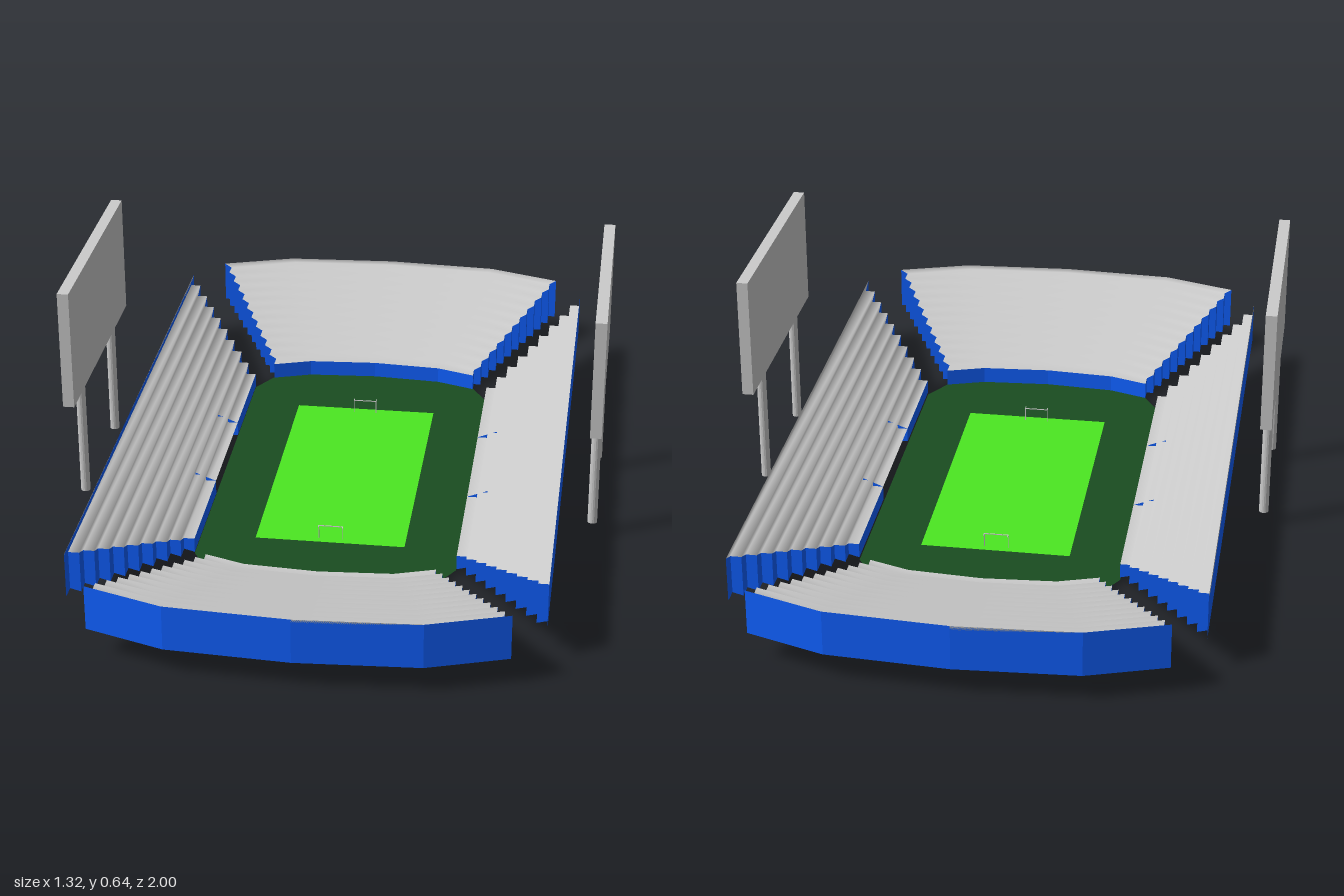
import * as THREE from 'three';

const paint = (color, flat = true) =>
  new THREE.MeshStandardMaterial({ color, flatShading: flat, side: THREE.DoubleSide });
const grey = paint(0xcccccc);
const seatGrey = paint(0xcccccc, false);
const blue = paint(0x1060ff);
const darkGreen = paint(0x1a4d20);
const brightGreen = paint(0x4ce822);

const lerp = THREE.MathUtils.lerp;

function add(parent, name, geometry, material, x = 0, y = 0, z = 0) {
  const mesh = new THREE.Mesh(geometry, material);
  mesh.name = name;
  mesh.position.set(x, y, z);
  parent.add(mesh);
  return mesh;
}

// Surface through equally long rows of [x, y, z] points
function grid(rows) {
  const cols = rows[0].length;
  const index = [];
  for (let i = 0; i < rows.length - 1; i++) {
    for (let j = 0; j < cols - 1; j++) {
      const a = i * cols + j, b = a + cols;
      index.push(a, b, b + 1, a, b + 1, a + 1);
    }
  }
  const geometry = new THREE.BufferGeometry();
  geometry.setAttribute('position', new THREE.Float32BufferAttribute(rows.flat(2), 3));
  geometry.setIndex(index);
  geometry.computeVertexNormals();
  return geometry;
}

// Open-bottomed stand rising outward along +z between two plan paths of [x, z]
function createStand({ name, inner, outer, low, high, rows, gap }) {
  const stand = new THREE.Group();
  stand.name = name;
  const [baseIn, topIn] = low, [baseOut, topOut] = high;

  // Stepped profile: each tread keeps its width, each riser widens to the next
  const treads = [], feet = [];
  const row = (ta, tr, ty) => {
    const plan = inner.map((p, j) => [lerp(p[0], outer[j][0], ta), lerp(p[1], outer[j][1], tr)]);
    treads.push(plan.map(([x, z]) => [x, lerp(topIn, topOut, ty), z]));
    feet.push(plan.map(([x, z]) => [x, lerp(baseIn, baseOut, tr), z]));
  };
  row(0, 0, 0);
  for (let k = 0; k < rows; k++) {
    const t = k / rows, next = (k + 1) / rows;
    row(t, next, t);
    row(next, next, next);
  }
  add(stand, 'seatRows', grid(treads), seatGrey);

  // Walls
  const last = treads.length - 1, end = inner.length - 1;
  add(stand, 'outerWall', grid([treads[last], feet[last]]), blue);
  add(stand, 'endWall', grid([feet.map(r => r[end]), treads.map(r => r[end])]), blue);
  add(stand, 'endWall', grid([treads.map(r => r[0]), feet.map(r => r[0])]), blue);
  if (!gap) {
    add(stand, 'innerWall', grid([feet[0], treads[0]]), blue);
    return stand;
  }

  // Inner wall with an entrance: two lengths with a return wall beside the opening
  const z0 = inner[0][1], z1 = z0 + gap.depth;
  const topAt = lerp(topIn, topOut, gap.depth / (outer[0][1] - z0));
  for (const s of [-1, 1]) {
    const edge = s * gap.half, far = s < 0 ? inner[0][0] : inner[end][0];
    const [a, b] = s < 0 ? [far, edge] : [edge, far];
    add(stand, 'innerWall', grid([
      [[a, baseIn, z0], [b, baseIn, z0]],
      [[a, topIn, z0], [b, topIn, z0]]]), blue);
    add(stand, 'entranceWall', grid([
      [[edge, baseIn, z0], [edge, baseIn, z1]],
      [[edge, topIn, z0], [edge, topAt - 0.012, z1]]]), blue);
  }
  return stand;
}

function createField() {
  const field = new THREE.Group();
  field.name = 'field';
  const quarter = [[0.322, 0.46], [0.28, 0.53], [0.18, 0.563], [0, 0.575]];
  const half = [...quarter, ...quarter.slice(0, 3).reverse().map(([x, z]) => [-x, z])];
  const outline = [...half, ...half.map(([x, z]) => [-x, -z])];
  const ground = new THREE.Shape(outline.map(([x, z]) => new THREE.Vector2(x, z)));
  const w = 0.186, d = 0.366;
  ground.holes.push(new THREE.Path([[-w, -d], [-w, d], [w, d], [w, -d]]
    .map(([x, z]) => new THREE.Vector2(x, z))));
  add(field, 'groundSurround', new THREE.ShapeGeometry(ground), darkGreen).rotation.x = -Math.PI / 2;
  add(field, 'pitch', new THREE.PlaneGeometry(2 * w, 2 * d), brightGreen).rotation.x = -Math.PI / 2;

  // Goals
  for (const s of [-1, 1]) {
    const goal = new THREE.Group();
    goal.name = 'goal';
    const t = 0.002, h = 0.035;
    for (const x of [-0.03, 0.03]) {
      add(goal, 'goalPost', new THREE.BoxGeometry(t, h, t), grey, x, h / 2, 0);
      add(goal, 'goalStrut', new THREE.BoxGeometry(t, t, 0.01), grey, x, h, 0.005);
    }
    add(goal, 'crossbar', new THREE.BoxGeometry(0.06 + t, t, t), grey, 0, h, 0);
    goal.position.z = s * 0.347;
    if (s < 0) goal.rotation.y = Math.PI;
    field.add(goal);
  }
  field.position.set(0.003, 0.008, -0.003);
  return field;
}

function createBoard() {
  const board = new THREE.Group();
  board.name = 'scoreboard';
  add(board, 'panel', new THREE.BoxGeometry(0.028, 0.303, 0.605), grey, 0, 0.4865, 0.048);
  for (const z of [0.225, -0.12]) {
    add(board, 'post', new THREE.CylinderGeometry(0.012, 0.012, 0.3, 16), grey, 0, 0.187, z);
  }
  return board;
}

export function createModel() {
  const model = new THREE.Group();
  model.name = 'stadium';
  model.add(createField());

  // Curved stands behind the goals
  const mirror = pts => [...pts.map(([x, z]) => [-x, z]), [0, pts.centre], ...[...pts].reverse()];
  const curve = (centre, ...pts) => mirror(Object.assign(pts, { centre }));
  for (const s of [0, 1]) {
    const stand = createStand({
      name: 'endStand',
      inner: curve(0.575, [0.28, 0.53], [0.18, 0.563]),
      outer: curve(1, [0.486, 0.92], [0.295, 0.983]),
      low: [0, 0.05], high: [0.065, 0.178], rows: 11,
    });
    stand.rotation.y = s * Math.PI;
    stand.position.x = 0.003;
    model.add(stand);
  }

  // Straight stands and boards along the sides
  for (const s of [-1, 1]) {
    const stand = createStand({
      name: 'sideStand',
      inner: [[-0.46, 0.322], [0.46, 0.322]],
      outer: [[-0.805, 0.559], [0.805, 0.559]],
      low: [0.013, 0.05], high: [0.075, 0.188], rows: 9,
      gap: { half: 0.163, depth: 0.063 },
    });
    stand.rotation.y = s * Math.PI / 2;
    stand.position.x = 0.004;
    model.add(stand);

    const board = createBoard();
    board.position.x = s * 0.644;
    model.add(board);
  }
  return model;
}
